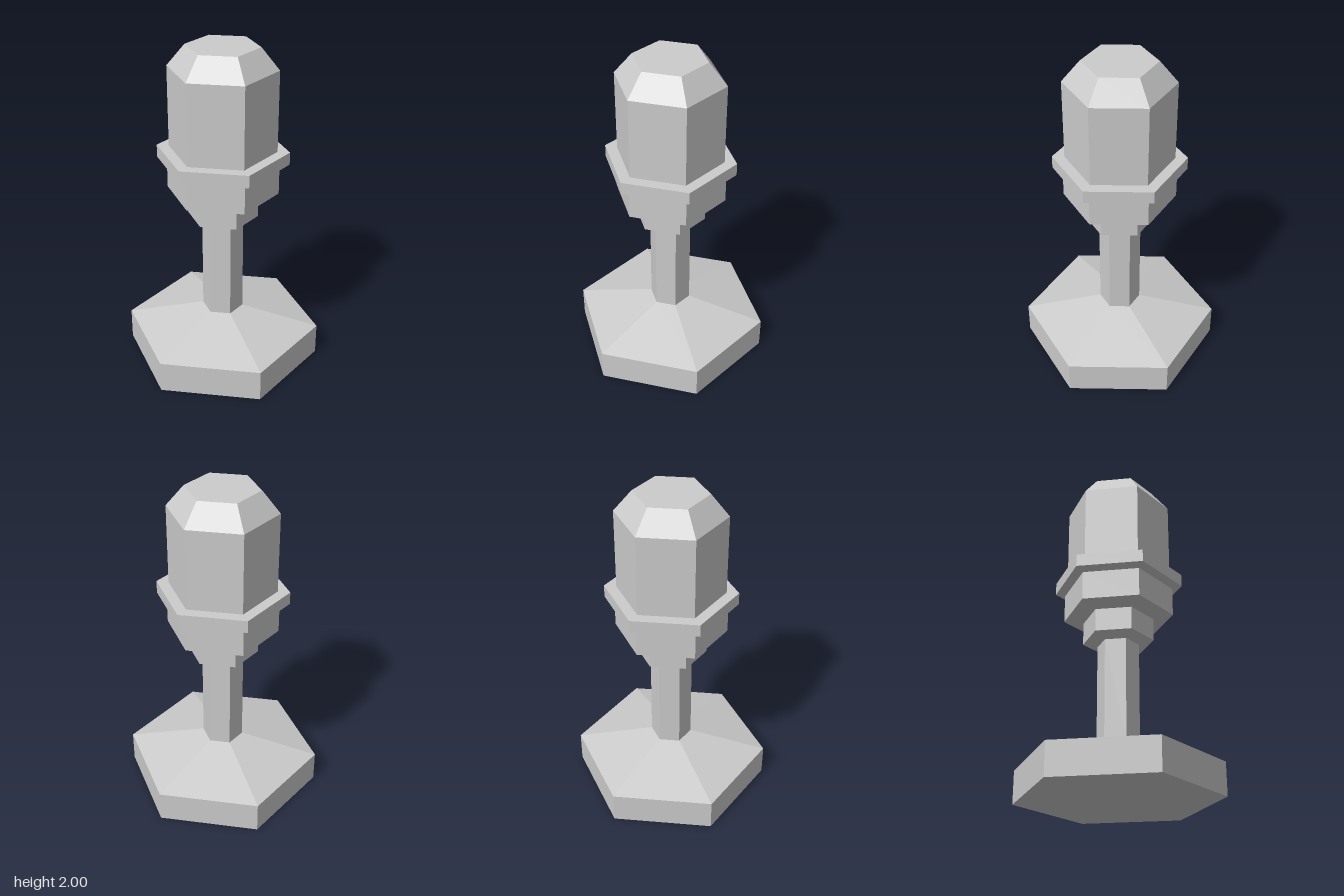
import * as THREE from 'three';

const material = new THREE.MeshStandardMaterial({ color: 0xcccccc, flatShading: true });

// Six-sided turned part with corners on the x axis; profile is [radius, y] from bottom to top
function hexPart(name, profile) {
  const points = profile.map(([r, y]) => new THREE.Vector2(r, y));
  const geometry = new THREE.LatheGeometry(points, 6, Math.PI / 2).toNonIndexed();
  geometry.computeVertexNormals();
  const mesh = new THREE.Mesh(geometry, material);
  mesh.name = name;
  return mesh;
}

export function createModel() {
  const model = new THREE.Group();
  model.name = 'pedestalLamp';
  model.add(
    // Foot with sloping top
    hexPart('base', [[0, 0], [0.6, 0], [0.6, 0.196], [0.125, 0.313]]),
    // Slim stem
    hexPart('column', [[0.125, 0.313], [0.125, 0.934]]),
    // Stepped collars, each with a bevelled underside
    hexPart('neck', [[0.125, 0.934], [0.213, 0.958], [0.213, 1.097]]),
    hexPart('cup', [[0.213, 1.097], [0.332, 1.118], [0.332, 1.293]]),
    hexPart('rim', [[0.332, 1.293], [0.39, 1.309], [0.39, 1.385], [0.318, 1.385]]),
    // Head with chamfered top
    hexPart('head', [[0.318, 1.385], [0.318, 1.872], [0.213, 2], [0, 2]])
  );
  return model;
}
